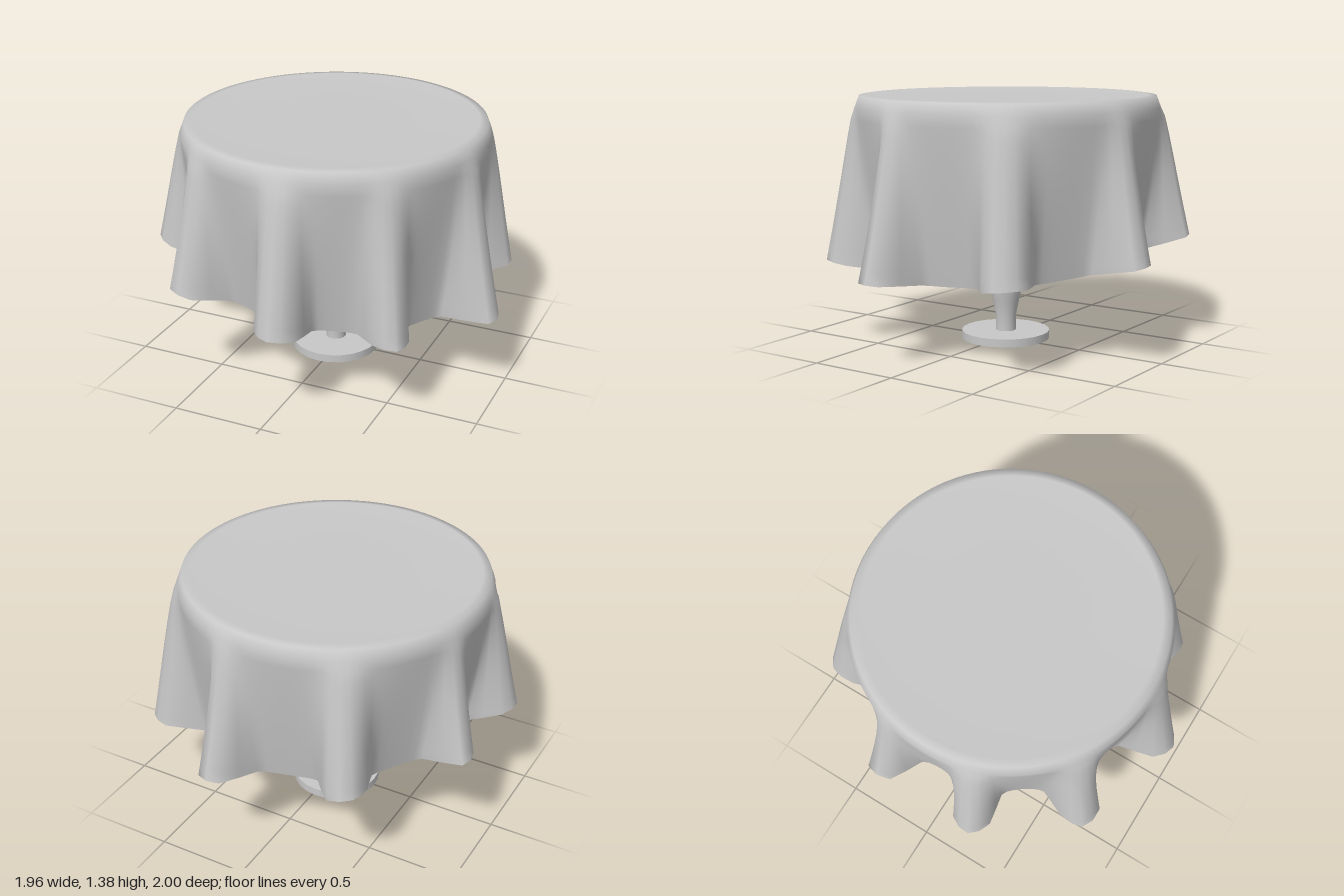
import * as THREE from 'three';

const CX = -0.025, CZ = -0.015; // axis of the table
const RIM = 0.838; // radius where the cloth starts to hang

// Outer corners of each hanging fold at the hem, as x, z, going round from +x to +z
const FOLDS = [
  [[0.97, 0.1], [0.96, 0.24]],
  [[0.65, 0.59], [0.64, 0.74], [0.5, 0.72]],
  [[0.16, 0.91], [0.05, 1.0], [-0.06, 0.93]],
  [[-0.48, 0.83], [-0.62, 0.8], [-0.62, 0.66]],
  [[-0.87, 0.37], [-0.98, 0.3], [-0.94, 0.18]],
  [[-0.95, -0.22], [-0.95, -0.36]],
  [[-0.59, -0.71], [-0.58, -0.85], [-0.46, -0.9]],
  [[0.12, -0.99], [0.26, -0.97]],
  [[0.71, -0.63], [0.83, -0.57], [0.85, -0.45]],
];

// Hem outline: fold corners joined by valleys
function hemOutline() {
  const pts = [];
  const angle = ([x, z]) => Math.atan2(z - CZ, x - CX);
  FOLDS.forEach((fold, k) => {
    fold.forEach(([x, z]) => pts.push(new THREE.Vector3(x, 0, z)));
    const a = angle(fold[fold.length - 1]);
    let b = angle(FOLDS[(k + 1) % FOLDS.length][0]);
    if (b < a) b += Math.PI * 2;
    [[0.13, 0.75], [0.34, 0.72], [0.66, 0.72], [0.87, 0.75]].forEach(([f, r]) => {
      const t = a + (b - a) * f;
      pts.push(new THREE.Vector3(CX + r * Math.cos(t), 0, CZ + r * Math.sin(t)));
    });
  });
  const curve = new THREE.CatmullRomCurve3(pts, true, 'centripetal');
  const n = pts.length * 2;
  return Array.from({ length: n }, (_, i) => curve.getPoint(i / n));
}

// Softens a closed outline by averaging neighbours
function soften(ring, passes) {
  let out = ring;
  for (let s = 0; s < passes; s++) {
    const prev = out, n = prev.length;
    out = prev.map((p, i) => p.clone().multiplyScalar(0.5)
      .addScaledVector(prev[(i + 1) % n], 0.25)
      .addScaledVector(prev[(i + n - 1) % n], 0.25));
  }
  return out;
}

// Surface through closed rings, flipped for inward-facing skins
function ringSurface(rings, flip = false) {
  const n = rings[0].length, idx = [];
  for (let r = 0; r < rings.length - 1; r++) {
    for (let i = 0; i < n; i++) {
      const j = (i + 1) % n;
      const a = r * n + i, b = (r + 1) * n + i, c = r * n + j, d = (r + 1) * n + j;
      if (flip) idx.push(a, b, c, c, b, d);
      else idx.push(a, c, b, c, d, b);
    }
  }
  const geo = new THREE.BufferGeometry().setFromPoints(rings.flat());
  geo.setIndex(idx);
  geo.computeVertexNormals();
  return geo;
}

function clothRings() {
  const hem = hemOutline(), soft = soften(hem, 6), rows = 14;
  const hemY = hem.map((h) => {
    const rh = Math.hypot(h.x - CX, h.z - CZ);
    return 0.515 - 0.095 * h.x - 0.015 * h.z + 0.19 * (rh - 0.87);
  });
  // Flat top and rounded rim
  const rings = [[0.001, 1.365], [0.4, 1.365], [0.72, 1.365], [0.77, 1.376], [0.815, 1.37], [RIM, 1.31]]
    .map(([r, y]) => soft.map((h) => {
      const t = Math.atan2(h.z - CZ, h.x - CX);
      return new THREE.Vector3(CX + r * Math.cos(t), y, CZ + r * Math.sin(t));
    }));
  // Drape: soft wide folds at the rim tighten towards the hem
  for (let k = 1; k <= rows; k++) {
    const t = k / rows;
    rings.push(hem.map((h, i) => {
      const p = soft[i].clone().lerp(h, t);
      const dx = p.x - CX, dz = p.z - CZ, rh = Math.hypot(dx, dz);
      const r = RIM + (rh - RIM) * Math.pow(t, rh > RIM ? 0.6 : 1.1);
      return new THREE.Vector3(CX + dx / rh * r, 1.31 + (hemY[i] - 1.31) * t, CZ + dz / rh * r);
    }));
  }
  return rings;
}

export function createModel() {
  const group = new THREE.Group();
  const grey = new THREE.MeshStandardMaterial({ color: 0xc8c8c8 });
  grey.name = 'light grey';
  const add = (name, geo, x = 0, y = 0, z = 0) => {
    const mesh = new THREE.Mesh(geo, grey);
    mesh.name = name;
    mesh.position.set(x, y, z);
    group.add(mesh);
  };

  // Tablecloth: outer skin, inner skin and the strip along the hem
  const outer = clothRings();
  const outerGeo = ringSurface(outer);
  const normal = outerGeo.attributes.normal, n = outer[0].length;
  const inner = outer.map((ring, r) => ring.map((p, i) => {
    const k = r * n + i;
    return new THREE.Vector3(normal.getX(k), normal.getY(k), normal.getZ(k)).multiplyScalar(-0.04).add(p);
  }));
  add('tableclothOutside', outerGeo);
  add('tableclothInside', ringSurface(inner, true));
  add('tableclothHem', ringSurface([outer[outer.length - 1], inner[inner.length - 1]]));

  // Round table top under the cloth
  add('tableTop', new THREE.CylinderGeometry(0.76, 0.76, 0.16, 48), CX, 1.24, CZ);

  // Turned leg
  const profile = [
    [0.057, 0.04], [0.057, 0.13], [0.075, 0.22], [0.092, 0.3], [0.096, 0.36], [0.09, 0.44],
    [0.076, 0.52], [0.062, 0.62], [0.058, 0.7], [0.065, 0.8], [0.078, 0.9], [0.085, 1.0], [0.085, 1.18],
  ].map(([r, y]) => new THREE.Vector2(r, y));
  add('leg', new THREE.LatheGeometry(profile, 24), -0.023, 0, -0.005);

  // Disc foot
  add('foot', new THREE.CylinderGeometry(0.247, 0.247, 0.045, 24), -0.023, 0.0225, -0.003);

  return group;
}
